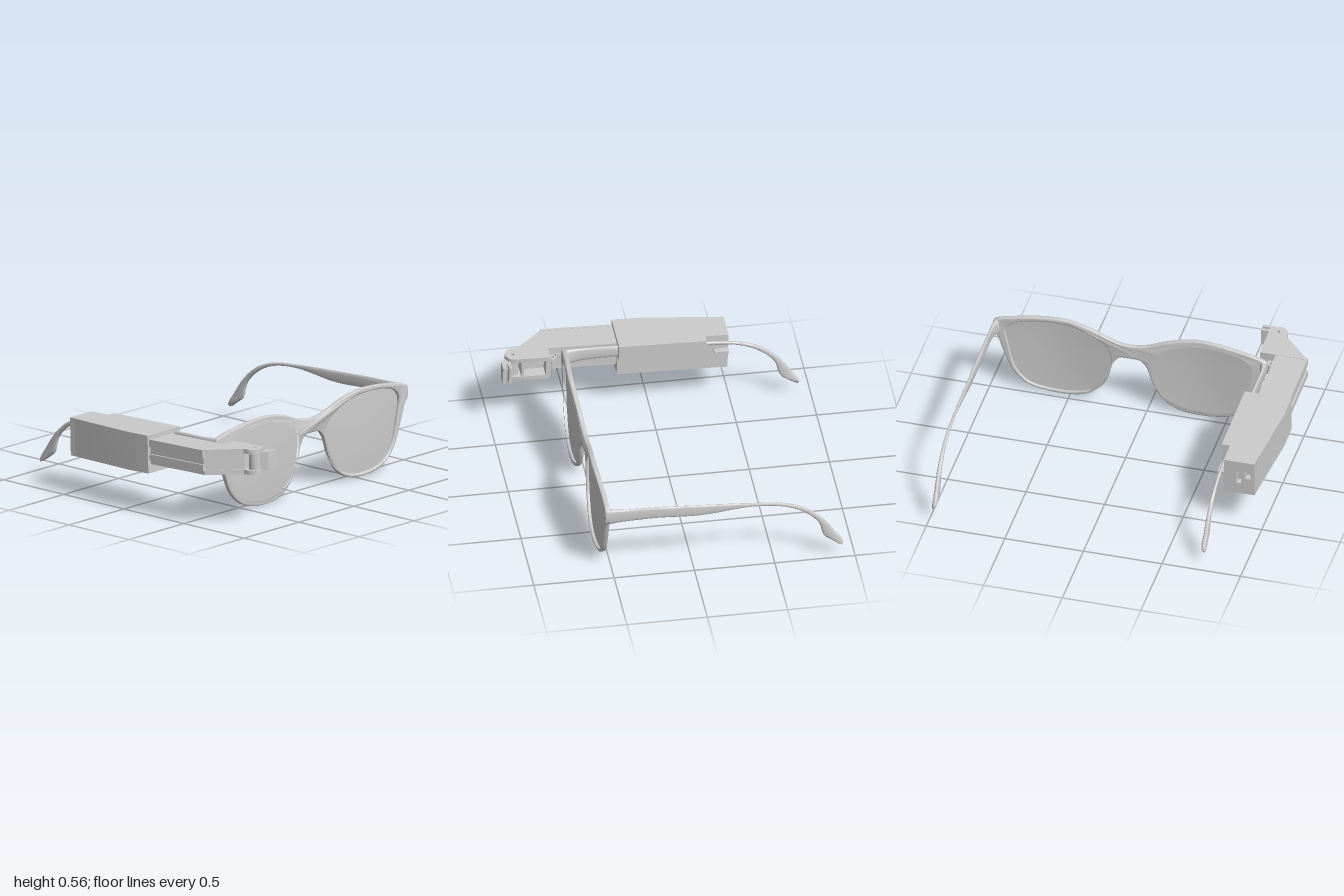
import * as THREE from 'three';
import { toCreasedNormals } from 'three/addons/utils/BufferGeometryUtils.js';

const grey = new THREE.MeshStandardMaterial({ color: 0xcccccc });
const thin = new THREE.MeshStandardMaterial({ color: 0xcccccc, side: THREE.DoubleSide });
const CX = 0.115; // middle of the spectacles, which the side unit pushes off centre

function add(parent, name, geometry, material = grey) {
  const mesh = new THREE.Mesh(geometry, material);
  mesh.name = name;
  parent.add(mesh);
  return mesh;
}

// Smooth closed loop through a few points
function loop(points, count) {
  const curve = new THREE.CatmullRomCurve3(points.map(([x, y]) => new THREE.Vector3(x, y, 0)), true);
  return curve.getPoints(count).slice(0, -1).map(p => new THREE.Vector2(p.x, p.y));
}

// Wavy bow of the front: each rim swells forward of bridge and corners
const bow = u => 0.018 * Math.sin(Math.PI * Math.min(Math.abs(u) / 0.87, 1)) ** 2;

const halfOutline = [
  [0.1, 0.475], [0.25, 0.53], [0.38, 0.559], [0.48, 0.565], [0.65, 0.549], [0.855, 0.505], [0.87, 0.49],
  [0.862, 0.43], [0.838, 0.37], [0.795, 0.25], [0.74, 0.13], [0.655, 0.05], [0.54, 0.015], [0.44, 0.007],
  [0.31, 0.025], [0.215, 0.085], [0.145, 0.2], [0.105, 0.315], [0.065, 0.362],
];
const lensOutline = [
  [0.485, 0.535], [0.34, 0.518], [0.215, 0.468], [0.135, 0.4], [0.127, 0.28], [0.19, 0.12], [0.325, 0.045],
  [0.495, 0.03], [0.645, 0.065], [0.725, 0.155], [0.775, 0.33], [0.788, 0.44], [0.735, 0.495], [0.63, 0.522],
];

function frameGeometry() {
  const outline = [[0, 0.46], ...halfOutline, [0, 0.37],
    ...halfOutline.map(([x, y]) => [-x, y]).reverse()];
  const shape = new THREE.Shape(loop(outline, 200));
  for (const s of [1, -1]) shape.holes.push(new THREE.Path(loop(lensOutline.map(([x, y]) => [s * x, y]), 80)));
  const geo = new THREE.ExtrudeGeometry(shape, {
    depth: 0.016, bevelThickness: 0.008, bevelSize: 0.008, bevelOffset: -0.008, bevelSegments: 3,
  });
  const p = geo.attributes.position;
  for (let i = 0; i < p.count; i++) p.setZ(i, p.getZ(i) + 0.528 + bow(p.getX(i)));
  return toCreasedNormals(geo, 0.7);
}

// Lens: concentric rings of its outline, following the bow with a slight dome
function lensGeometry(side) {
  const n = 64, rings = 8, pos = [], idx = [];
  const rim = loop(lensOutline, n);
  for (let r = 0; r <= rings; r++) {
    const k = 1.012 * r / rings;
    for (const p of rim) {
      const u = 0.46 + (p.x - 0.46) * k, y = 0.29 + (p.y - 0.29) * k;
      pos.push(side * u, y, 0.532 + bow(u) + 0.006 * (1 - k * k));
    }
  }
  for (let r = 0; r < rings; r++) for (let i = 0; i < n; i++) {
    const a = r * n + i, b = r * n + (i + 1) % n;
    if (side > 0) idx.push(a, a + n, b, b, a + n, b + n);
    else idx.push(a, b, a + n, b, b + n, a + n);
  }
  const geo = new THREE.BufferGeometry();
  geo.setAttribute('position', new THREE.Float32BufferAttribute(pos, 3));
  geo.setIndex(idx);
  geo.computeVertexNormals();
  return geo;
}

// Temple stations: top z, top y, bottom z, bottom y, half width
const stations = [
  [0.55, 0.503, 0.55, 0.4, 0.03], [0.515, 0.502, 0.515, 0.398, 0.02], [0.46, 0.498, 0.46, 0.408, 0.012],
  [0.23, 0.492, 0.23, 0.415, 0.011], [-0.04, 0.478, -0.04, 0.405, 0.01], [-0.37, 0.457, -0.37, 0.435, 0.009],
  [-0.57, 0.432, -0.56, 0.413, 0.01], [-0.7, 0.38, -0.68, 0.36, 0.011], [-0.8, 0.295, -0.775, 0.27, 0.013],
  [-0.88, 0.185, -0.81, 0.165, 0.015], [-0.93, 0.105, -0.86, 0.125, 0.015], [-0.925, 0.088, -0.9, 0.096, 0.009],
];

function templeGeometry(side) {
  const curve = (a, b) => new THREE.CatmullRomCurve3(stations.map(s => new THREE.Vector3(s[4], s[b], s[a])));
  const top = curve(0, 1), bottom = curve(2, 3), steps = 66, n = 20, pos = [], idx = [];
  for (let i = 0; i <= steps; i++) {
    const t = top.getPoint(i / steps), b = bottom.getPoint(i / steps);
    const mid = t.clone().add(b).multiplyScalar(0.5), half = t.clone().sub(b).multiplyScalar(0.5);
    for (let j = 0; j < n; j++) {
      const a = j / n * Math.PI * 2, c = Math.cos(a), s = Math.sin(a);
      const sq = v => Math.sign(v) * Math.abs(v) ** 0.7; // rounded-square section
      pos.push(side * (0.872 - t.x + t.x * sq(s)), mid.y + half.y * sq(c), mid.z + half.z * sq(c));
    }
  }
  const tri = (a, b, c) => side > 0 ? idx.push(a, b, c) : idx.push(a, c, b);
  for (let i = 0; i < steps; i++) for (let j = 0; j < n; j++) {
    const a = i * n + j, b = i * n + (j + 1) % n;
    tri(a, b, a + n);
    tri(b, b + n, a + n);
  }
  for (let j = 1; j < n - 1; j++) {
    tri(0, j + 1, j);
    tri(steps * n, steps * n + j, steps * n + j + 1);
  }
  const geo = new THREE.BufferGeometry();
  geo.setAttribute('position', new THREE.Float32BufferAttribute(pos, 3));
  geo.setIndex(idx);
  return toCreasedNormals(geo, 0.8);
}

// Plate from a plan of [x, z] points, between two heights, with optional round holes [x, z, r]
function plate(plan, y0, y1, holes = []) {
  const shape = Array.isArray(plan) ? new THREE.Shape(plan.map(([x, z]) => new THREE.Vector2(x, z))) : plan;
  for (const [x, z, r] of holes) shape.holes.push(new THREE.Path().absarc(x, z, r, 0, Math.PI * 2));
  const geo = new THREE.ExtrudeGeometry(shape, { depth: y1 - y0, bevelEnabled: false, curveSegments: 20 });
  return toCreasedNormals(geo.rotateX(Math.PI / 2).translate(0, y1, 0), 0.6);
}
const box = (x0, x1, y0, y1, z0, z1) =>
  new THREE.BoxGeometry(x1 - x0, y1 - y0, z1 - z0).translate((x0 + x1) / 2, (y0 + y1) / 2, (z0 + z1) / 2);
const disc = (x, z, r) => new THREE.Shape().absarc(x, z, r, 0, Math.PI * 2);

function sideUnit() {
  const unit = new THREE.Group();
  unit.name = 'sideUnit';

  // Tapered battery case with a ported rear plate
  add(unit, 'batteryCase', plate([[-1, 0.2], [-1, 0.03], [-0.954, -0.45], [-0.757, -0.45], [-0.757, 0.2]], 0.264, 0.504));
  const rear = new THREE.Shape([[-0.952, 0.264], [-0.757, 0.264], [-0.757, 0.504], [-0.952, 0.504]]
    .map(p => new THREE.Vector2(...p)));
  for (const [x, y, w, h] of [[-0.85, 0.385, 0.028, 0.085], [-0.908, 0.41, 0.034, 0.055]]) {
    rear.holes.push(new THREE.Path([[-1, -1], [-1, 1], [1, 1], [1, -1]]
      .map(([i, j]) => new THREE.Vector2(x + i * w / 2, y + j * h / 2))));
  }
  add(unit, 'portPlate', new THREE.ExtrudeGeometry(rear, { depth: 0.04, bevelEnabled: false }).translate(0, 0, -0.49));

  // Cover and tab that grip the temple
  add(unit, 'templeCover', box(-0.757, -0.705, 0.392, 0.504, -0.345, 0.2));
  add(unit, 'templeTab', box(-0.757, -0.715, 0.392, 0.408, -0.49, -0.4));

  // Rail with ledges on its sides
  add(unit, 'rail', plate([[-0.975, 0.19], [-0.975, 0.64], [-0.8, 0.815], [-0.765, 0.8], [-0.765, 0.66],
    [-0.785, 0.63], [-0.785, 0.19]], 0.32, 0.476));
  for (const [y0, y1] of [[0.345, 0.385], [0.43, 0.478]]) add(unit, 'railLedge', box(-0.987, -0.97, y0, y1, 0.19, 0.645));
  add(unit, 'innerRail', box(-0.79, -0.775, 0.35, 0.43, 0.19, 0.58));

  // Hinge block: upper and lower plates rounded around the pivot
  for (const [y0, y1] of [[0.318, 0.346], [0.45, 0.478]]) {
    const plan = new THREE.Shape();
    plan.moveTo(-0.975, 0.645).lineTo(-0.805, 0.82).lineTo(-0.805, 0.845);
    plan.absarc(-0.745, 0.845, 0.06, Math.PI, Math.PI / 6, true);
    plan.lineTo(-0.685, 0.86).lineTo(-0.685, 0.63).lineTo(-0.975, 0.63);
    add(unit, 'hingePlate', plate(plan, y0, y1, [[-0.742, 0.857, 0.011]]));
  }
  add(unit, 'hingeWall', box(-0.785, -0.685, 0.33, 0.465, 0.63, 0.655));
  add(unit, 'hingeWall', box(-0.785, -0.685, 0.33, 0.465, 0.79, 0.808));
  add(unit, 'hingeBarrel', plate(disc(-0.742, 0.857, 0.038), 0.335, 0.46, [[-0.742, 0.857, 0.011]]));
  add(unit, 'clipHinge', plate(disc(-0.76, 0.605, 0.025), 0.35, 0.425, [[-0.76, 0.605, 0.01]]));
  add(unit, 'clipHingeArm', box(-0.785, -0.737, 0.35, 0.425, 0.615, 0.64));

  // Forked holder at the very front
  add(unit, 'displayHolder', plate([[-0.755, 0.88], [-0.735, 0.9], [-0.705, 0.932], [-0.625, 0.932], [-0.625, 0.912],
    [-0.675, 0.909], [-0.675, 0.895], [-0.625, 0.893], [-0.625, 0.875], [-0.72, 0.875]], 0.342, 0.455));

  // The whole unit rises slightly towards the front
  unit.rotation.x = -0.03;
  unit.position.z = 0.012;
  return unit;
}

export function createModel() {
  const model = new THREE.Group();
  model.name = 'smartGlasses';
  const glasses = new THREE.Group();
  glasses.name = 'glasses';
  glasses.position.x = CX;
  add(glasses, 'frontFrame', frameGeometry());
  for (const [side, label] of [[1, 'left'], [-1, 'right']]) {
    add(glasses, label + 'Lens', lensGeometry(side), thin);
    add(glasses, label + 'Temple', templeGeometry(side));
  }
  model.add(glasses, sideUnit());
  return model;
}
